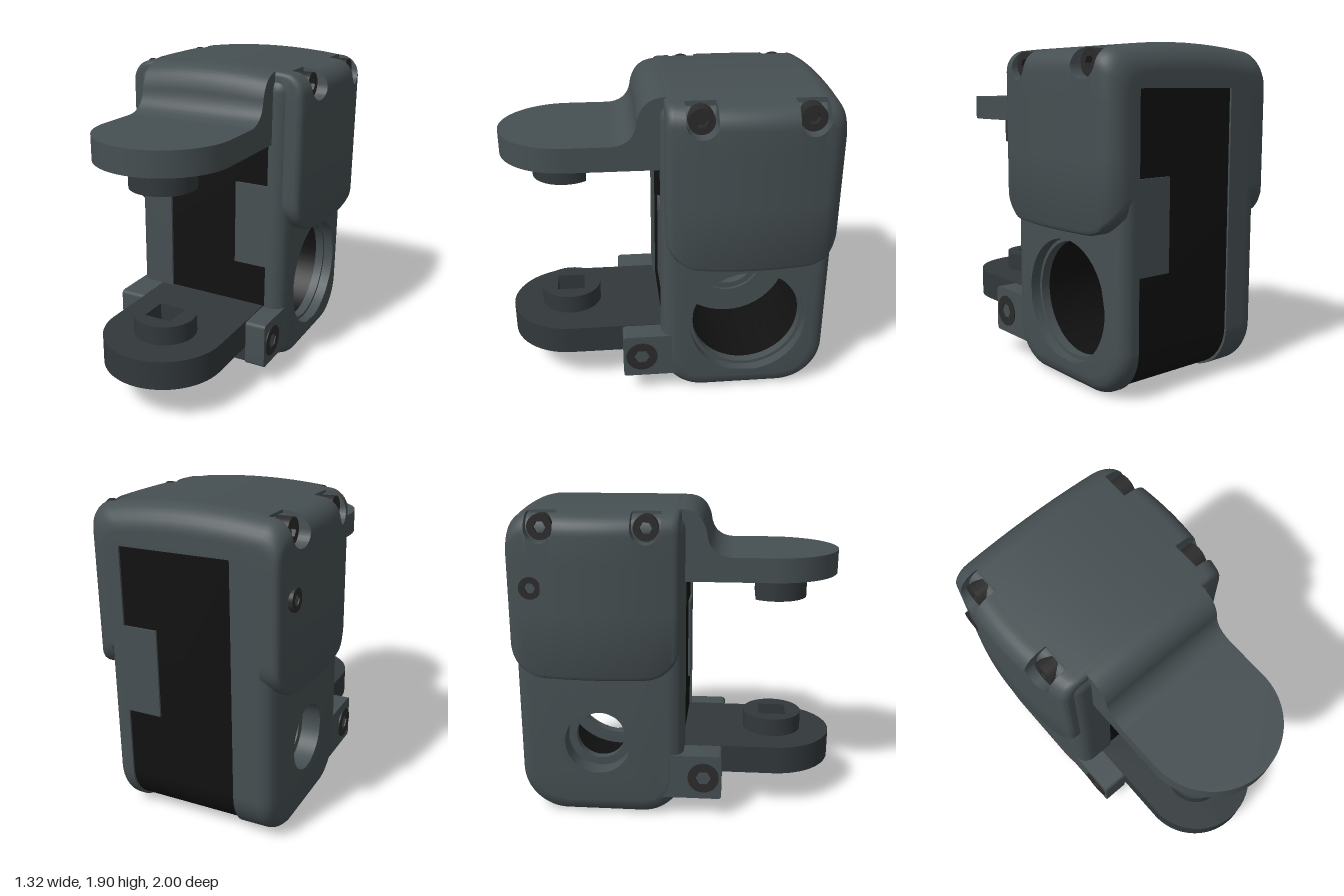
import * as THREE from 'three';
import { toCreasedNormals } from 'three/addons/utils/BufferGeometryUtils.js';

const mat = (c, side = THREE.FrontSide) => new THREE.MeshStandardMaterial({ color: c, side });
const GREY = mat(0x464f52), SHELL = mat(0x464f52, THREE.DoubleSide), DARK = mat(0x32383b), BLACK = mat(0x111111), STEEL = mat(0x2b2b2b);
const HUB = { z: -0.42, y: 0.48 };

function add(parent, name, geo, material) {
  const m = new THREE.Mesh(toCreasedNormals(geo, 0.55), material);
  m.name = name;
  parent.add(m);
  return m;
}
const circle = (x, y, r) => new THREE.Path().absarc(x, y, r, 0, Math.PI * 2, true);
const disc = (x, y, r) => new THREE.Shape().absarc(x, y, r, 0, Math.PI * 2, false);

// Profile drawn in (z, y), extruded sideways from u0 to u1
function slab(shape, u0, u1, steps = 1) {
  const g = new THREE.ExtrudeGeometry(shape, { depth: u1 - u0, steps, bevelEnabled: false, curveSegments: 24 });
  return g.rotateY(-Math.PI / 2).translate(u1, 0, 0);
}
// Outline drawn in (x, z), extruded upwards from y0 to y1
function plate(shape, y0, y1) {
  const g = new THREE.ExtrudeGeometry(shape, { depth: y1 - y0, bevelEnabled: false, curveSegments: 32 });
  return g.rotateX(Math.PI / 2).translate(0, y1, 0);
}
function box(x0, x1, y0, y1, z0, z1) {
  return new THREE.BoxGeometry(x1 - x0, y1 - y0, z1 - z0).translate((x0 + x1) / 2, (y0 + y1) / 2, (z0 + z1) / 2);
}

// Housing side profile: rounded rectangle with its own radius for each corner
function profile(z0, z1, y0, y1, rFront, rBack, rTop) {
  const s = new THREE.Shape(), P = Math.PI;
  s.absarc(z0 + rBack, y0 + rBack, rBack, P, 1.5 * P, false);
  s.absarc(z1 - rFront, y0 + rFront, rFront, 1.5 * P, 2 * P, false);
  s.absarc(z1 - rTop, y1 - rTop, rTop, 0, P / 2, false);
  s.absarc(z0 + rTop, y1 - rTop, rTop, P / 2, P, false);
  return s;
}

// Housing wall with its outer edge rounded over
function wall(u0, u1, side, holeR) {
  const z0 = -0.905, z1 = 0.1, y0 = 0, y1 = 1.86, rF = 0.26, rB = 0.28, rT = 0.1, b = 0.09;
  const s = profile(z0, z1, y0, y1, rF, rB, rT);
  s.holes.push(circle(HUB.z, HUB.y, holeR));
  const g = slab(s, u0, u1, 14), p = g.attributes.position;
  for (let i = 0; i < p.count; i++) {
    const e = side > 0 ? u1 - p.getX(i) : p.getX(i) - u0;
    if (e >= b) continue;
    const d = b - Math.sqrt(Math.max(0, b * b - (b - e) ** 2));
    let z = p.getZ(i), y = p.getY(i);
    const front = z > (z0 + z1) / 2, low = y < 0.9;
    const r = low ? (front ? rF : rB) : rT;
    const cz = front ? z1 - r : z0 + r, cy = low ? y0 + r : y1 - r;
    const dz = z - cz, dy = y - cy, L = Math.hypot(dz, dy);
    if ((front ? dz > 0 : dz < 0) && (low ? dy < 0 : dy > 0)) {
      const k = Math.min(1, (r - d) / L);
      z = cz + dz * k; y = cy + dy * k;
    } else {
      z = Math.min(z1 - d, Math.max(z0 + d, z));
      y = Math.min(y1 - d, Math.max(y0 + d, y));
    }
    p.setXYZ(i, p.getX(i), y, z);
  }
  return g;
}

// Upper cover: arched cross-sections lofted from back to front, with four screw pockets
const POCKETS = [-0.11, -0.71], POCKET_R = 0.085, ARCH = 0.14;
function coverGeometry() {
  const z0 = -0.918, z1 = 0.08, zs = [];
  for (let i = 0; i <= 60; i++) zs.push(z0 + (z1 - z0) * i / 60);
  for (const e of [0.001, 0.004, 0.009]) zs.push(z0 + e, z1 - e);
  for (const c of POCKETS) {
    for (let k = -8; k <= 8; k++) zs.push(c + POCKET_R * 0.999 * Math.sin(k * Math.PI / 16));
    zs.push(c - POCKET_R * 1.001, c + POCKET_R * 1.001);
  }
  zs.sort((a, b) => a - b);
  const drop = (e, r) => (e >= r ? 0 : r - Math.sqrt(Math.max(0, r * r - (r - e) ** 2)));
  // One side of a slice, from the inner lower edge up to the crown
  const halfSection = (z, backRound) => {
    const eB = z - z0, eF = z1 - z, c = 0.12;
    const hw = 0.565 + 0.067 * (1 - ((z + 0.415) / 0.495) ** 2) - drop(eB, backRound) - drop(eF, 0.03);
    const yb = 0.905 + drop(eB, 0.2) + drop(eF, 0.2);
    const yt = 1.905 - drop(eB, 0.15) - drop(eF, 0.03);
    const top = u => yt - ARCH * u * u;
    const shoulder = top(hw - c) - c;
    const half = [[0.46, yb], [hw - 0.03, yb], [hw - 0.01, yb + 0.01], [hw, yb + 0.03], [hw, 1.3], [hw, 1.6]];
    for (let k = 0; k <= 8; k++) {
      const a = k * Math.PI / 16;
      half.push([hw - c + c * Math.cos(a), shoulder + c * Math.sin(a)]);
    }
    for (const u of [0.461, 0.459, 0.35, 0.25, 0.15, 0.05]) {
      const v = Math.min(u, hw - c);
      half.push([v, top(v)]);
    }
    for (const pz of POCKETS) {
      const d = Math.abs(z - pz);
      if (d >= POCKET_R) continue;
      const floor = 1.79 - Math.sqrt(POCKET_R ** 2 - d * d);
      for (const q of half) if (q[0] > 0.46) q[1] = Math.min(q[1], floor);
    }
    return half;
  };
  const section = z => [
    ...halfSection(z, 0.1).map(([u, y]) => [u, y, z]),
    ...halfSection(z, 0.03).reverse().map(([u, y]) => [-u, y, z]),
  ];
  const rim = s => s.map(([u, y, z]) => [Math.max(-0.4, Math.min(0.4, u)), Math.min(1.66, y), z]);
  const rows = zs.map(section);
  rows.unshift(rim(rows[0]));
  rows.push(rim(rows[rows.length - 1]));
  const n = rows[0].length, idx = [];
  for (let i = 0; i < rows.length - 1; i++) for (let j = 0; j < n - 1; j++) {
    const a = i * n + j, b = a + 1, c = a + n, d = c + 1;
    idx.push(a, b, c, b, d, c);
  }
  const g = new THREE.BufferGeometry();
  g.setAttribute('position', new THREE.Float32BufferAttribute(rows.flat(2), 3));
  g.setIndex(idx);
  return g;
}

// Socket-head screw lying along x, its head facing outwards on the given side
function screw(parent, x, y, z, r, len, side) {
  const g = new THREE.Group();
  g.name = 'screw';
  const s = disc(0, 0, r), hex = new THREE.Path();
  for (let k = 0; k < 6; k++) hex[k ? 'lineTo' : 'moveTo'](r * 0.5 * Math.cos(-k * Math.PI / 3), r * 0.5 * Math.sin(-k * Math.PI / 3));
  hex.closePath();
  s.holes.push(hex);
  add(g, 'screwHead', slab(s, -len / 2, len / 2), STEEL);
  add(g, 'socketFloor', new THREE.CylinderGeometry(r * 0.9, r * 0.9, len * 0.5, 24).rotateZ(Math.PI / 2).translate(-side * len * 0.2, 0, 0), STEEL);
  g.position.set(x, y, z);
  parent.add(g);
}

// Tongue outline: straight sides ending in a half circle
function tongue(r, zBack, zc) {
  const s = new THREE.Shape();
  s.moveTo(-r, zBack);
  s.lineTo(r, zBack);
  s.absarc(0, zc, r, 0, Math.PI, false);
  return s;
}

// Neck that flows from the arched cover down to the upper tongue
function neckGeometry() {
  const s = new THREE.Shape();
  s.moveTo(-0.05, 1.47);
  s.lineTo(0.39, 1.47);
  s.lineTo(0.39, 1.604);
  s.quadraticCurveTo(0.24, 1.604, 0.225, 1.76);
  s.quadraticCurveTo(0.2, 1.903, 0.06, 1.903);
  s.lineTo(-0.05, 1.903);
  const g = slab(s, -0.4, 0.4, 16), p = g.attributes.position;
  for (let i = 0; i < p.count; i++) {
    const k = Math.min(1, Math.max(0, (p.getY(i) - 1.605) / 0.2));
    p.setY(i, p.getY(i) - ARCH * k * p.getX(i) ** 2);
  }
  return g;
}

export function createModel() {
  const model = new THREE.Group(), body = new THREE.Group();
  model.name = 'jointBracket';
  body.name = 'bracketBody';
  body.position.set(0.072, 0, -0.013);
  body.rotation.y = THREE.MathUtils.degToRad(10);
  model.add(body);

  // Housing walls around the dark motor block
  add(body, 'leftWall', wall(0.38, 0.503, 1, 0.35), GREY);
  add(body, 'rightWall', wall(-0.537, -0.29, -1, 0.2), GREY);
  const core = profile(-0.893, 0.085, 0.01, 1.68, 0.26, 0.28, 0.02);
  core.holes.push(circle(HUB.z, HUB.y, 0.41));
  add(body, 'motorBlock', slab(core, -0.3, 0.385), BLACK);
  for (const [z0, z1] of [[0.0, 0.1], [-0.905, -0.84]]) add(body, 'wallTab', box(0.17, 0.4, 0.68, 1.2, z0, z1), GREY);

  // Rings inside the side bores
  for (const [u0, u1, ro, ri] of [[-0.42, -0.37, 0.22, 0.15], [-0.31, -0.27, 0.42, 0.24], [0.385, 0.44, 0.355, 0.33]]) {
    const ring = disc(HUB.z, HUB.y, ro);
    ring.holes.push(circle(HUB.z, HUB.y, ri));
    add(body, 'boreRing', slab(ring, u0, u1), GREY);
  }

  // Cover and its screws
  add(body, 'cover', coverGeometry(), SHELL);
  for (const side of [-1, 1]) for (const z of POCKETS) screw(body, side * 0.51, 1.79, z, 0.073, 0.09, side);
  screw(body, -0.578, 1.45, -0.77, 0.065, 0.06, -1);

  // Upper arm: curved neck and tongue
  add(body, 'upperNeck', neckGeometry(), GREY);
  add(body, 'upperTongue', plate(tongue(0.4, 0, 0.62), 1.46, 1.605), GREY);

  // Upper boss: hollow pin with a flat at the back
  const pin = new THREE.Shape();
  pin.absarc(0, 0.645, 0.193, -0.72, Math.PI + 0.72, false);
  pin.holes.push(circle(0, 0.645, 0.115));
  add(body, 'upperBoss', plate(pin, 1.3, 1.47), DARK);
  add(body, 'upperBossCollar', plate(disc(0, 0.64, 0.23), 1.448, 1.47), DARK);

  // Lower arm: tongue, boss with square socket, clamp bar
  const low = tongue(0.365, 0.08, 0.655);
  low.holes.push(circle(0, 0.65, 0.12));
  add(body, 'lowerTongue', plate(low, 0.235, 0.41), DARK);
  const boss = disc(0, 0.65, 0.186);
  const q = 0.085, socket = new THREE.Path();
  socket.moveTo(-q, 0.65 - q);
  socket.lineTo(-q, 0.65 + q);
  socket.lineTo(q, 0.65 + q);
  socket.lineTo(q, 0.65 - q);
  socket.closePath();
  boss.holes.push(socket);
  add(body, 'lowerBoss', plate(boss, 0.4, 0.525), DARK);
  add(body, 'lowerBar', box(-0.39, 0.39, 0.14, 0.24, 0.05, 0.325), DARK);

  // Ears that clamp the lower arm
  const ear = new THREE.Shape();
  ear.moveTo(-0.03, 0.13);
  ear.lineTo(0.315, 0.13);
  ear.quadraticCurveTo(0.336, 0.13, 0.336, 0.15);
  ear.lineTo(0.336, 0.385);
  ear.quadraticCurveTo(0.336, 0.41, 0.31, 0.41);
  ear.lineTo(-0.03, 0.41);
  for (const [u0, u1, side] of [[0.37, 0.496, 1], [-0.533, -0.367, -1]]) {
    add(body, 'ear', slab(ear, u0, u1), GREY);
    screw(body, side > 0 ? 0.472 : -0.512, 0.27, 0.225, 0.095, 0.06, side);
  }
  return model;
}
